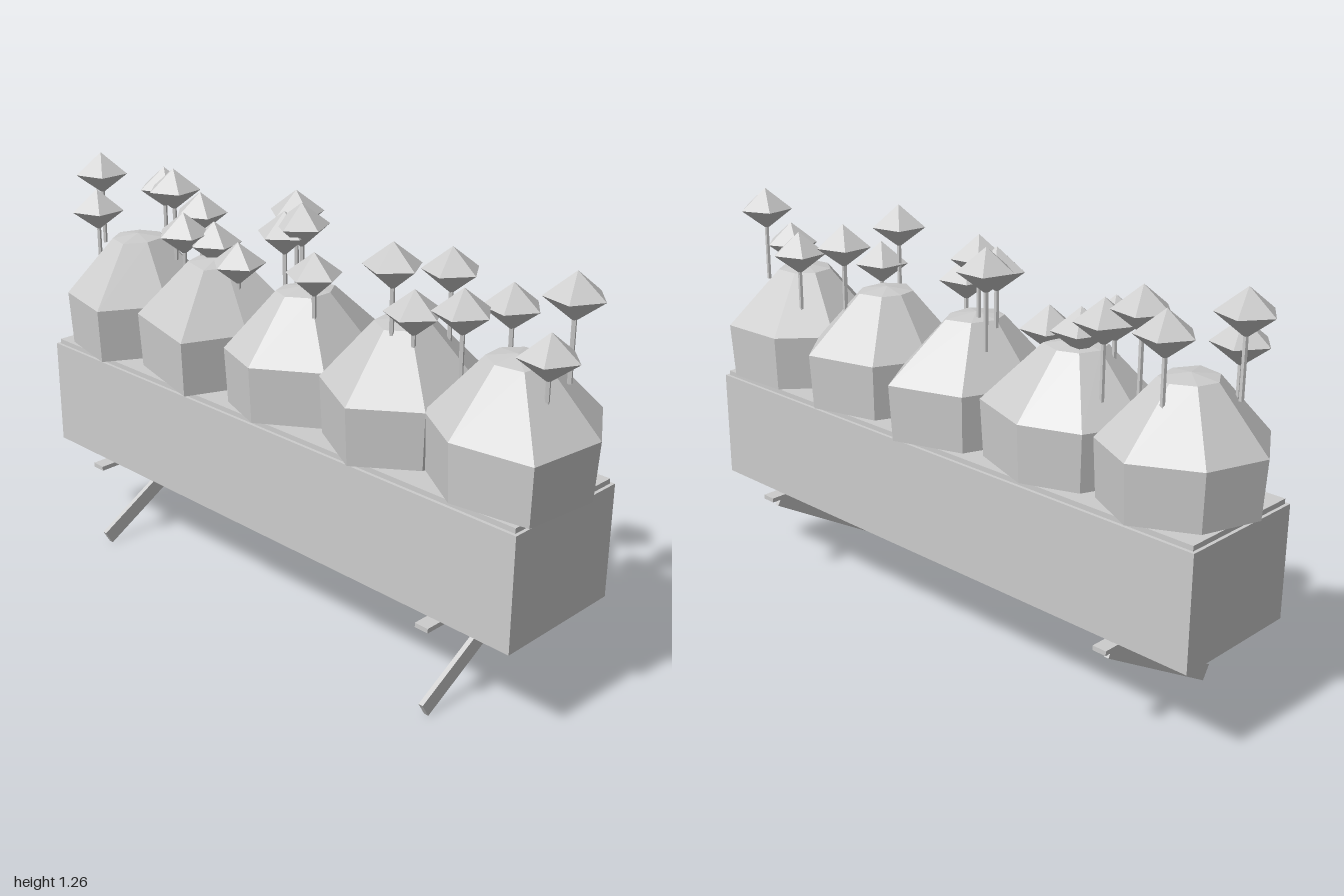
import * as THREE from 'three';

const grey = new THREE.MeshStandardMaterial({ color: 0xcccccc, flatShading: true });
grey.name = 'plain grey';

function add(parent, name, geometry, x = 0, y = 0, z = 0) {
  const mesh = new THREE.Mesh(geometry, grey);
  mesh.name = name;
  mesh.position.set(x, y, z);
  parent.add(mesh);
  return mesh;
}

// Faceted bush: one outline scaled through a few heights, closed at both ends
function bushGeometry(outline) {
  const rings = [[0, 0.66], [0.96, 0.66], [1, 0.83], [0.35, 1.0], [0, 1.012]];
  const points = rings.map(([s, y]) => outline.map(([x, z]) => [x * s, y, z * s]));
  const positions = [];
  const n = outline.length;
  for (let r = 0; r < rings.length - 1; r++) {
    for (let i = 0; i < n; i++) {
      const j = (i + 1) % n;
      const a = points[r][i], b = points[r][j];
      const c = points[r + 1][i], d = points[r + 1][j];
      if (rings[r][0] > 0) positions.push(...a, ...c, ...b);
      if (rings[r + 1][0] > 0) positions.push(...b, ...c, ...d);
    }
  }
  const geometry = new THREE.BufferGeometry();
  geometry.setAttribute('position', new THREE.Float32BufferAttribute(positions, 3));
  geometry.computeVertexNormals();
  return geometry;
}

// Bush centres along x, each with its outline as x, z offsets
const bushes = [
  [-0.77, [[0.21, 0.06], [0.1, 0.25], [-0.12, 0.2], [-0.23, 0.03], [-0.17, -0.15], [0.01, -0.245], [0.18, -0.16]]],
  [-0.39, [[0.2, 0.06], [0.12, 0.25], [-0.18, 0.17], [-0.24, 0.0], [-0.17, -0.17], [0.0, -0.235], [0.21, -0.16]]],
  [-0.01, [[0.2, 0.12], [0.02, 0.24], [-0.15, 0.18], [-0.21, 0.02], [-0.13, -0.19], [0.09, -0.265], [0.2, -0.1]]],
  [0.37, [[0.2, 0.13], [0.03, 0.255], [-0.18, 0.14], [-0.21, -0.03], [-0.14, -0.19], [0.08, -0.25], [0.21, -0.1]]],
  [0.755, [[0.215, 0.195], [-0.025, 0.23], [-0.2, 0.12], [-0.22, -0.08], [-0.1, -0.22], [0.115, -0.23], [0.24, -0.045]]],
];

// Flower centres: x, y, z
const flowers = [
  [-0.905, 1.19, 0.03], [-0.855, 1.09, 0.09], [-0.775, 1.14, -0.12], [-0.655, 1.165, -0.06],
  [-0.54, 1.11, -0.07], [-0.48, 1.08, 0.05], [-0.42, 1.05, -0.02], [-0.28, 1.02, 0.01],
  [-0.155, 1.18, -0.11], [-0.09, 1.15, 0.0], [-0.04, 1.18, -0.02], [0.09, 1.08, 0.06],
  [0.4, 1.18, 0.08], [0.46, 1.06, 0.06], [0.45, 1.14, -0.1], [0.6, 1.09, 0.03],
  [0.65, 1.085, -0.11], [0.88, 1.18, -0.055], [0.89, 1.05, 0.05],
];

export function createModel() {
  const model = new THREE.Group();
  model.name = 'flowerBox';

  // Planter with a slightly inset soil bed
  add(model, 'planter', new THREE.BoxGeometry(1.9, 0.34, 0.42), -0.01, 0.47, 0);
  const soil = new THREE.BoxGeometry(1.88, 0.015, 0.4);
  add(model, 'soil', soil, -0.01, 0.6475, 0);

  // Two brackets: a flat bar under the planter and a slanted strut
  for (const x of [-0.71, 0.685]) {
    const bracket = new THREE.Group();
    bracket.name = 'bracket';
    bracket.position.x = x;
    add(bracket, 'bracketBar', new THREE.BoxGeometry(0.045, 0.014, 0.506), 0, 0.288, 0);
    const strut = add(bracket, 'bracketStrut', new THREE.BoxGeometry(0.015, 0.05, 0.51), 0, 0.149, 0.011);
    strut.rotation.x = Math.PI / 6;
    add(bracket, 'bracketPin', new THREE.BoxGeometry(0.015, 0.02, 0.012), 0, 0.287, -0.198);
    model.add(bracket);
  }

  // Row of bushes
  for (const [x, outline] of bushes) add(model, 'bush', bushGeometry(outline), x);

  // Flowers: five-sided double cones on thin stems
  const bloom = new THREE.SphereGeometry(1, 5, 2).scale(0.084, 0.066, 0.084);
  flowers.forEach(([x, y, z], i) => {
    const flower = new THREE.Group();
    flower.name = 'flower';
    flower.position.set(x, 0, z);
    add(flower, 'bloom', bloom, 0, y, 0).rotation.y = i * 1.3;
    const base = y - 0.23;
    const height = y - base;
    add(flower, 'stem', new THREE.CylinderGeometry(0.007, 0.007, height, 5), 0, base + height / 2, 0);
    model.add(flower);
  });

  return model;
}
